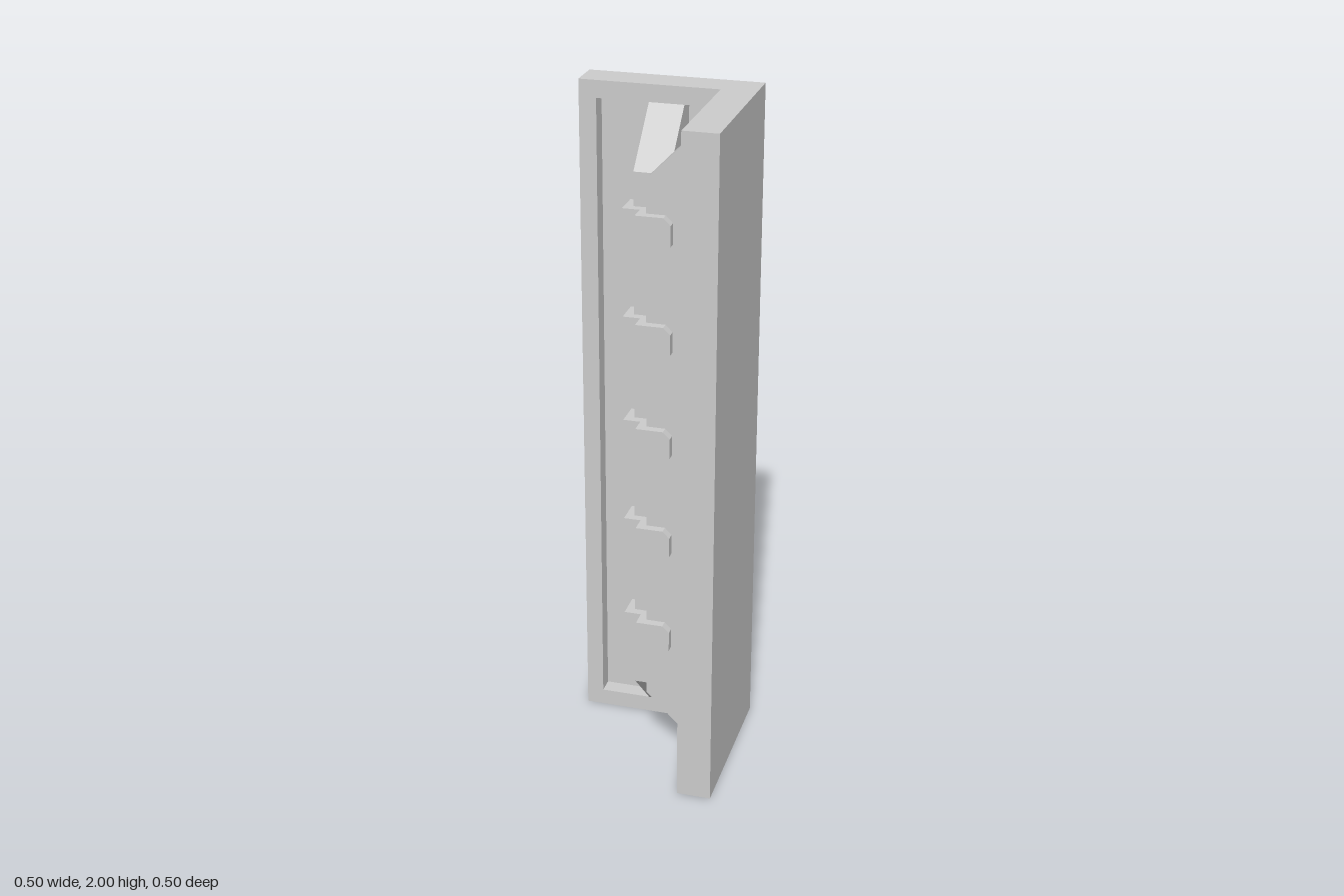
import * as THREE from 'three';

const material = new THREE.MeshStandardMaterial({ color: 0xcccccc, flatShading: true });

// Extrude a floor plan given as [x, z] points upwards from y0 to y1
function extrudePlan(points, y0, y1, steps = 1) {
  const shape = new THREE.Shape(points.map(([x, z]) => new THREE.Vector2(x, -z)));
  const geometry = new THREE.ExtrudeGeometry(shape, { depth: y1 - y0, steps, bevelEnabled: false });
  return geometry.rotateX(-Math.PI / 2).translate(0, y0, 0);
}

function addMesh(parent, name, geometry) {
  const mesh = new THREE.Mesh(geometry, material);
  mesh.name = name;
  parent.add(mesh);
  return mesh;
}

// L-shaped clamp, chamfered above and below on its back (-z) and left (+x) sides
function clampGeometry() {
  const outer = 0.075, inner = 0.025, half = 0.05, chamfer = 0.02;
  const plan = [[-outer, -outer], [outer, -outer], [outer, outer],
    [-inner, outer], [-inner, inner], [-outer, inner]];
  const geometry = extrudePlan(plan, -half, half, 3);
  const p = geometry.attributes.position;
  for (let i = 0; i < p.count; i++) {
    const y = p.getY(i);
    if (Math.abs(y) > half * 0.9) {
      if (p.getX(i) > outer - 0.001) p.setX(i, outer - chamfer);
      if (p.getZ(i) < -outer + 0.001) p.setZ(i, -outer + chamfer);
    } else {
      p.setY(i, Math.sign(y) * (half - chamfer));
    }
  }
  geometry.computeVertexNormals();
  return geometry;
}

export function createModel() {
  const model = new THREE.Group();
  model.name = 'cornerPost';

  // Corner casing: solid L-shaped ends and a hollowed L-shaped wall between them
  const casing = new THREE.Group();
  casing.name = 'casing';
  model.add(casing);
  const endPlan = [[-0.25, -0.25], [0.25, -0.25], [0.25, 0.25],
    [0.15, 0.25], [0.15, -0.15], [-0.25, -0.15]];
  const wallPlan = [[-0.25, -0.25], [0.25, -0.25], [0.25, 0.25], [0.15, 0.25], [0.15, 0.2],
    [0.2, 0.2], [0.2, -0.2], [-0.2, -0.2], [-0.2, -0.15], [-0.25, -0.15]];
  addMesh(casing, 'bottomEnd', extrudePlan(endPlan, 0, 0.05));
  addMesh(casing, 'recessedWall', extrudePlan(wallPlan, 0.05, 1.95));
  addMesh(casing, 'topEnd', extrudePlan(endPlan, 1.95, 2));

  // Two upright ribs with sloping ends, one from each wall, meeting in the middle
  const profile = [[0, 0.2], [0.15, 0.05], [0.2, 0.05], [0.2, 1.95], [0.15, 1.95], [0, 1.8]];
  const ribShape = new THREE.Shape(profile.map(([x, y]) => new THREE.Vector2(x, y)));
  const rib = new THREE.ExtrudeGeometry(ribShape, { depth: 0.1, bevelEnabled: false }).translate(0, 0, -0.05);
  addMesh(model, 'leftRib', rib);
  addMesh(model, 'backRib', rib).rotation.y = Math.PI / 2;

  // Row of clamps up the ribs
  const clamp = clampGeometry();
  for (let i = 0; i < 5; i++) {
    addMesh(model, `clamp${i + 1}`, clamp).position.y = 0.4 + i * 0.3133;
  }
  return model;
}
